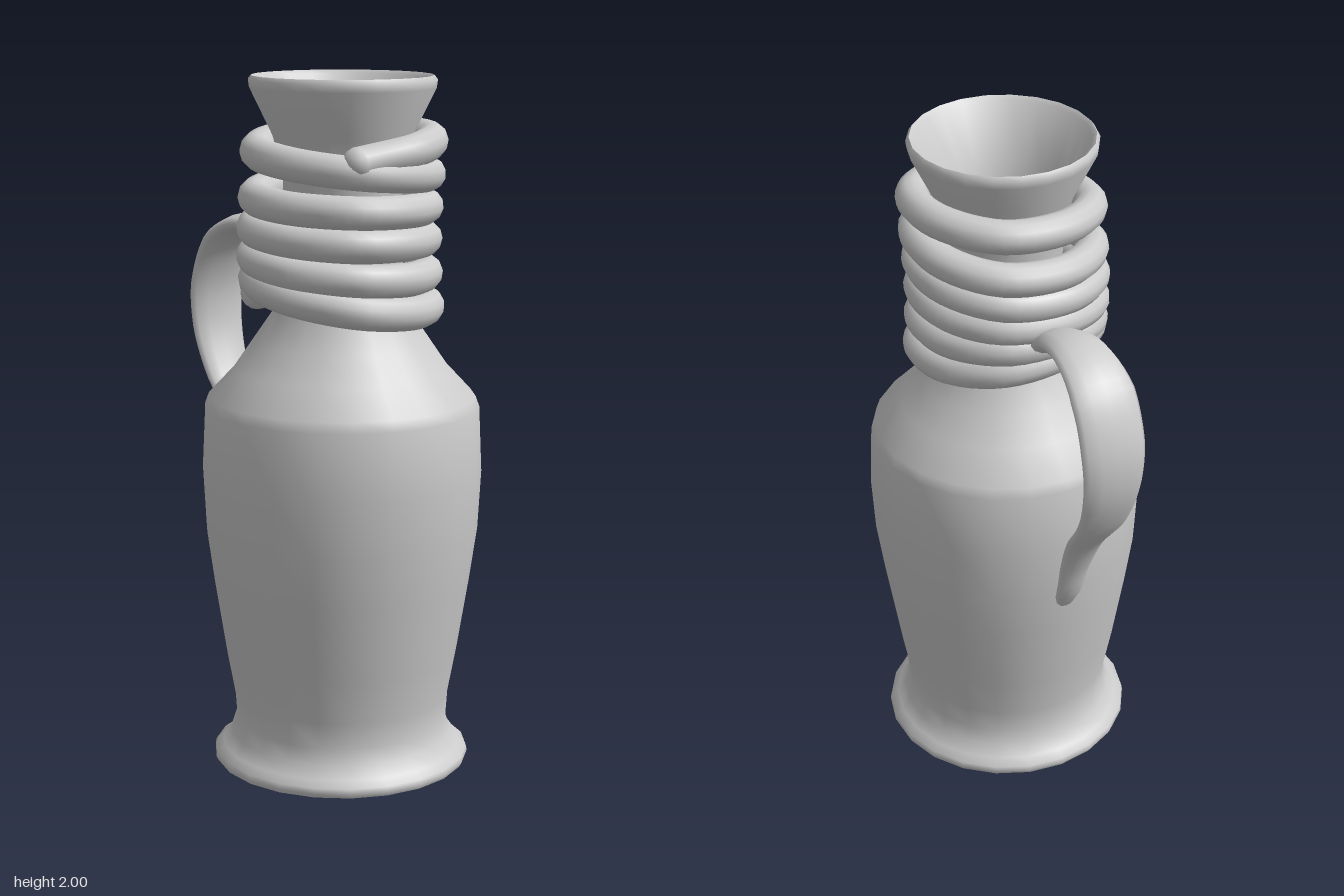
import * as THREE from 'three';
import { mergeVertices, toCreasedNormals } from 'three/addons/utils/BufferGeometryUtils.js';

const material = new THREE.MeshStandardMaterial({ color: 0xcccccc });
const AXIS_Z = 0.13; // the vessel sits forward of the handle

function addMesh(parent, name, geometry) {
  const mesh = new THREE.Mesh(geometry, material);
  mesh.name = name;
  parent.add(mesh);
  return mesh;
}

// Hollow vessel: outside from foot to rim, then down the inside to the floor
function vesselGeometry() {
  const profile = [
    [0, 0], [0.37, 0], [0.376, 0.012], [0.373, 0.028], [0.35, 0.045], [0.325, 0.08],
    [0.311, 0.125], [0.316, 0.2], [0.34, 0.33], [0.375, 0.55], [0.396, 0.7], [0.405, 0.87],
    [0.396, 1.06], [0.385, 1.09], [0.31, 1.17], [0.255, 1.25], [0.2, 1.33], [0.177, 1.4],
    [0.165, 1.55], [0.168, 1.72], [0.197, 1.83], [0.263, 1.965], [0.266, 1.988], [0.257, 2],
    [0.245, 1.99], [0.175, 1.83], [0.143, 1.72], [0.14, 1.55], [0.15, 1.4], [0.22, 1.25],
    [0.35, 1.06], [0.37, 0.87], [0.34, 0.55], [0.28, 0.2], [0.24, 0.08], [0, 0.06],
  ].map(([r, y]) => new THREE.Vector2(r, y));
  return toCreasedNormals(new THREE.LatheGeometry(profile, 22), 0.85);
}

// Uneven cord path winding down the neck, heights given per quarter turn
function cordCurve() {
  const heights = [ // front, left, back, right
    1.795, 1.83, 1.815, 1.775,
    1.735, 1.715, 1.68, 1.65,
    1.635, 1.63, 1.6, 1.56,
    1.545, 1.54, 1.53, 1.475,
    1.445, 1.445, 1.47, 1.41,
    1.35, 1.35, 1.41, 1.385,
  ];
  const heightAt = (q) => {
    const i = Math.min(Math.max(Math.floor(q), 0), heights.length - 2);
    return THREE.MathUtils.lerp(heights[i], heights[i + 1], q - i);
  };
  const points = [];
  for (let q = -0.3; q <= heights.length - 0.9; q += 0.5) {
    const a = q * Math.PI / 2;
    const r = 0.243 - 0.012 * Math.cos(4 * a) + 0.008 * Math.sin(q * 1.37);
    const y = q < 0 ? heights[0] + q * 0.07 : heightAt(q);
    points.push(new THREE.Vector3(r * Math.sin(a), y, r * Math.cos(a)));
  }
  return new THREE.CatmullRomCurve3(points);
}

// Strap handle: a tube whose section is widened in x and flattened in its plane
function handleGeometry() {
  const path = new THREE.CatmullRomCurve3([
    [1.42, -0.04], [1.46, -0.1], [1.52, -0.19], [1.545, -0.31], [1.49, -0.43], [1.35, -0.5],
    [1.21, -0.503], [1.065, -0.45], [0.94, -0.36], [0.82, -0.305], [0.71, -0.27], [0.65, -0.235],
  ].map(([y, z]) => new THREE.Vector3(0, y, z)));
  const steps = 48, sides = 12;
  const halfWidths = [0.05, 0.06, 0.08, 0.097, 0.098, 0.09, 0.078, 0.06, 0.045, 0.035];
  const geometry = new THREE.TubeGeometry(path, steps, 1, sides);
  const position = geometry.attributes.position;
  const p = new THREE.Vector3();
  for (let i = 0; i < position.count; i++) {
    const t = Math.floor(i / (sides + 1)) / steps;
    const f = t * (halfWidths.length - 1);
    const k = Math.min(Math.floor(f), halfWidths.length - 2);
    const width = THREE.MathUtils.lerp(halfWidths[k], halfWidths[k + 1], f - k);
    const thickness = 0.033 - 0.01 * t;
    const centre = path.getPointAt(t);
    p.fromBufferAttribute(position, i).sub(centre);
    p.set(p.x * width, p.y * thickness, p.z * thickness).add(centre);
    position.setXYZ(i, p.x, p.y, p.z);
  }
  geometry.deleteAttribute('uv');
  geometry.deleteAttribute('normal');
  const welded = mergeVertices(geometry, 1e-5);
  welded.computeVertexNormals();
  return welded;
}

export function createModel() {
  const model = new THREE.Group();
  model.name = 'jug';

  addMesh(model, 'vessel', vesselGeometry()).position.z = AXIS_Z;

  // Cord wrapped around the neck, with rounded ends
  const cord = new THREE.Group();
  cord.name = 'neckCord';
  cord.position.z = AXIS_Z;
  const curve = cordCurve();
  const radius = 0.048;
  addMesh(cord, 'cordCoil', new THREE.TubeGeometry(curve, 260, radius, 12));
  for (const t of [0, 1]) {
    addMesh(cord, 'cordEnd', new THREE.SphereGeometry(radius, 12, 8)).position.copy(curve.getPointAt(t));
  }
  model.add(cord);

  addMesh(model, 'handle', handleGeometry());
  return model;
}
